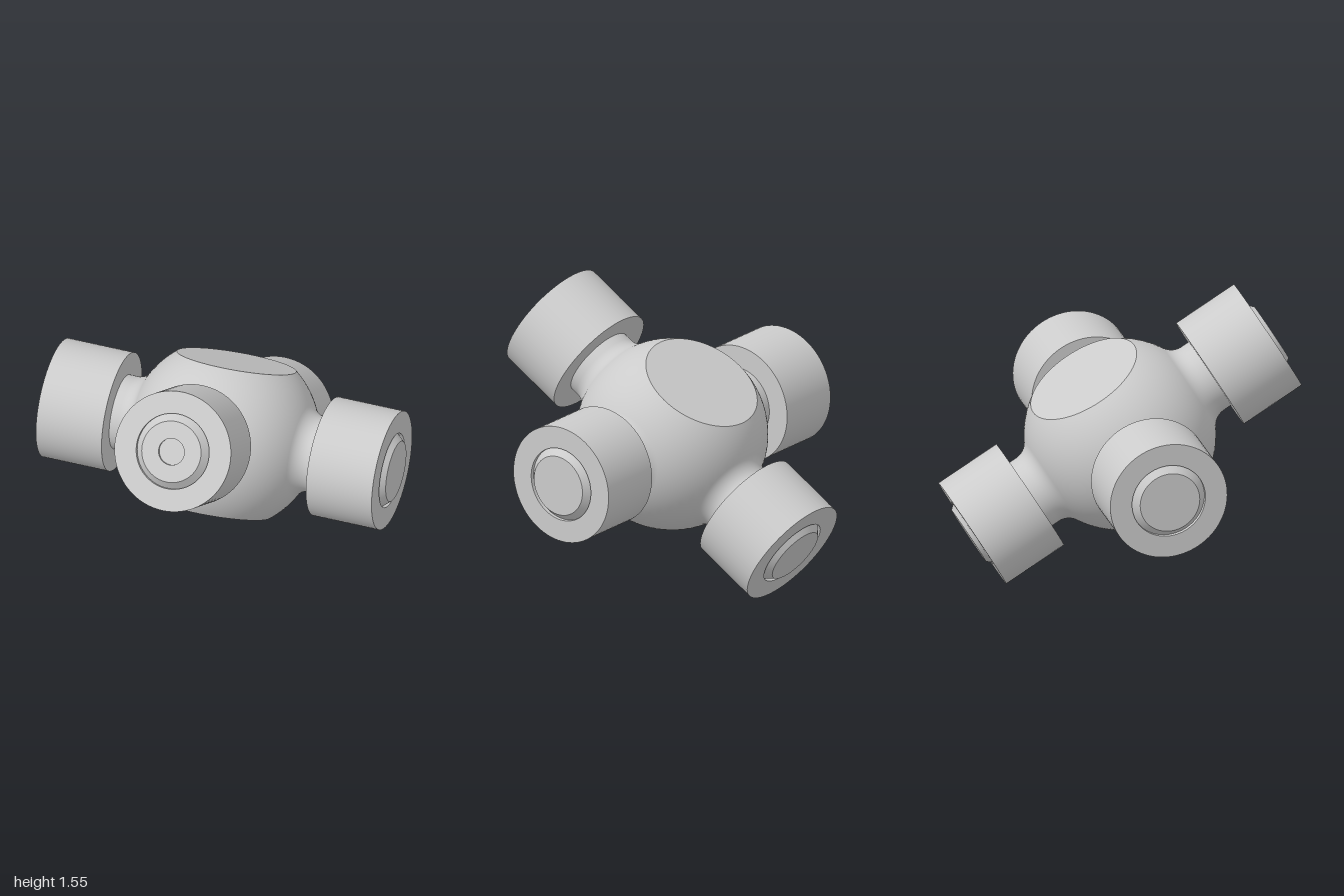
import * as THREE from 'three';

const material = new THREE.MeshStandardMaterial({ color: 0xcccccc });
const R = 0.522;       // body sphere radius
const FLAT = 0.405;    // distance of the two flats from the centre
const NECK = 0.207;    // trunnion radius
const FILLET = 0.1;
const CAP = { radius: 0.33, inner: 0.588, outer: 0.966 };

// Samples an arc as [radius, height] pairs
function arc(cr, ch, rad, a0, a1, n) {
  return Array.from({ length: n + 1 }, (_, i) => {
    const a = a0 + (a1 - a0) * i / n;
    return [cr + rad * Math.cos(a), ch + rad * Math.sin(a)];
  });
}

// Revolves several runs separately so the edges between them stay sharp
function revolve(name, runs) {
  const group = new THREE.Group();
  group.name = name;
  runs.forEach((run, i) => {
    const points = run.map(([r, h]) => new THREE.Vector2(r, h));
    const mesh = new THREE.Mesh(new THREE.LatheGeometry(points, 80), material);
    mesh.name = `${name}Surface${i + 1}`;
    group.add(mesh);
  });
  return group;
}

// Turns a polyline into one run per segment
const sharp = (pts) => pts.slice(1).map((p, i) => [pts[i], p]);

function makeArm(name, hasCentreHole) {
  const arm = new THREE.Group();
  arm.name = name;

  // Trunnion blending into the sphere with a tangent fillet
  const cr = NECK + FILLET;
  const ch = Math.sqrt((R + FILLET) ** 2 - cr ** 2);
  const start = Math.atan2(-ch, -cr) + Math.PI * 2;
  const blend = arc(cr, ch, FILLET, start, Math.PI, 14);
  const end = [[NECK, 0.945], [0.168, 0.99]];
  if (hasCentreHole) end.push([0.073, 0.99], [0.073, 0.975], [0, 0.975]);
  else end.push([0, 0.99]);
  arm.add(revolve('trunnion', [[...blend, [NECK, 0.945]], ...sharp(end)]));

  // Bearing cap: a plain ring around the trunnion
  const { radius, inner, outer } = CAP;
  arm.add(revolve('bearingCap', sharp([
    [NECK, inner], [radius, inner], [radius, outer], [NECK, outer], [NECK, 0.94],
  ])));
  return arm;
}

export function createModel() {
  const model = new THREE.Group();
  model.name = 'universalJointCross';

  const cross = new THREE.Group();
  cross.name = 'cross';
  cross.position.y = 0.775;
  cross.rotation.x = -THREE.MathUtils.degToRad(30.4);
  model.add(cross);

  // Spherical body with two flats
  const a = Math.asin(FLAT / R);
  const side = arc(0, 0, R, -a, a, 40);
  cross.add(revolve('body', [
    [[0, -FLAT], side[0]], side, [side[side.length - 1], [0, FLAT]],
  ]));

  // Four arms at right angles; only the front one has a centre hole
  const up = new THREE.Vector3(0, 1, 0);
  [['frontArm', 0, 1], ['backArm', 0, -1], ['leftArm', 1, 0], ['rightArm', -1, 0]]
    .forEach(([name, x, z]) => {
      const arm = makeArm(name, name === 'frontArm');
      arm.quaternion.setFromUnitVectors(up, new THREE.Vector3(x, 0, z));
      cross.add(arm);
    });

  return model;
}
